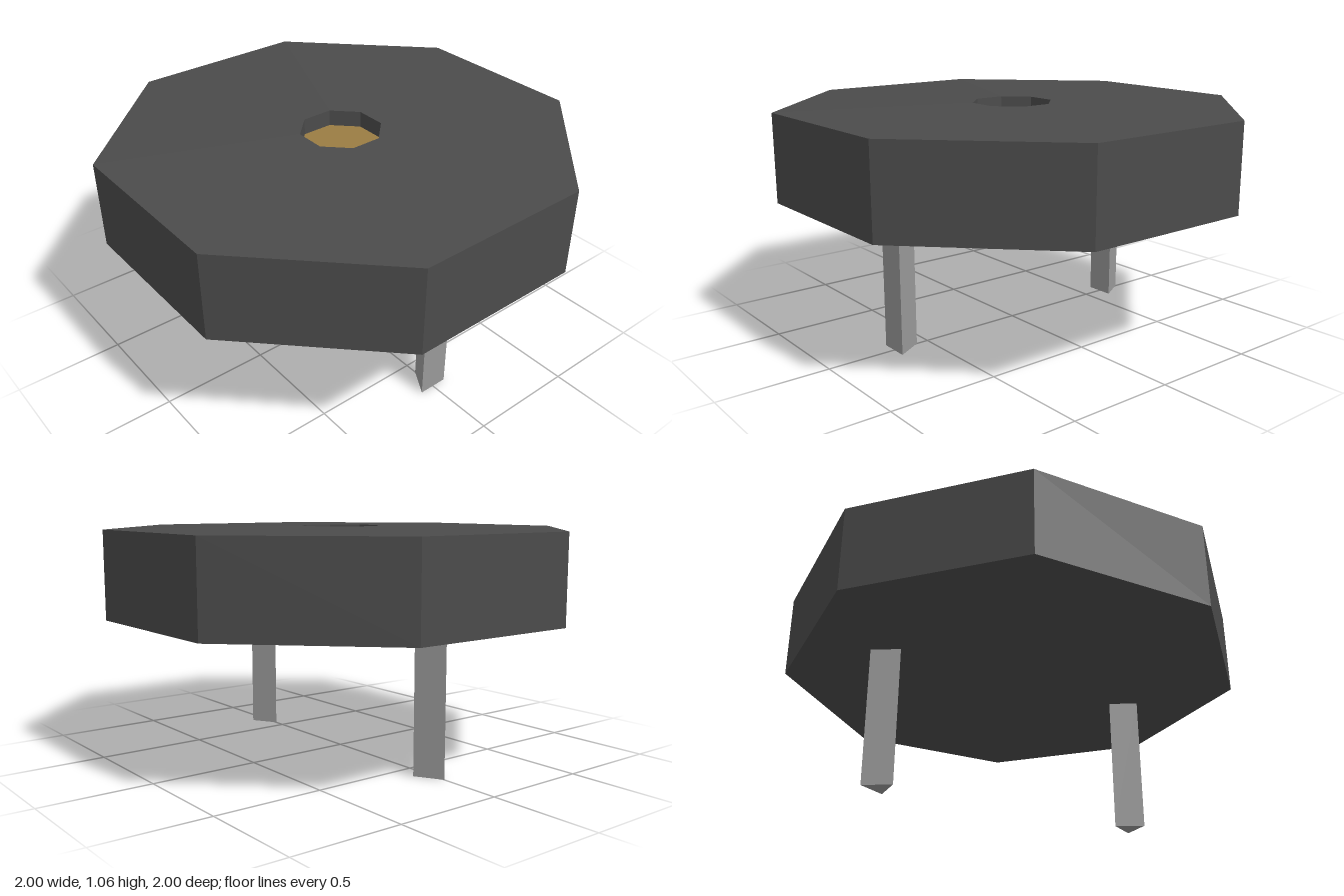
import * as THREE from 'three';

const material = (name, color) => {
  const m = new THREE.MeshStandardMaterial({ color });
  m.name = name;
  return m;
};

// Separate the faces so every facet gets its own flat normal
function faceted(geometry) {
  const g = geometry.toNonIndexed();
  g.computeVertexNormals();
  return g;
}

export function createModel() {
  const group = new THREE.Group();
  const charcoal = material('charcoal', 0x4b4b4b);
  const gold = material('gold', 0x9a7c43);
  const grey = material('grey', 0x999999);

  const add = (name, geometry, mat, x = 0, y = 0) => {
    const mesh = new THREE.Mesh(faceted(geometry), mat);
    mesh.name = name;
    mesh.position.set(x, y, 0);
    group.add(mesh);
  };

  // Corner radius of an octagon with the given half width across flats
  const corner = (halfWidth) => halfWidth / Math.cos(Math.PI / 8);
  const outer = corner(1), inner = corner(0.174);
  const bottom = 0.648, rim = 1.05, crown = 1.06, floor = 0.985;

  // Octagonal body with a slightly domed top and a central well
  const profile = [
    [0, bottom - 0.004], [outer, bottom], [outer, rim], [inner, crown], [inner, floor],
  ].map(([r, y]) => new THREE.Vector2(r, y));
  add('body', new THREE.LatheGeometry(profile, 8, Math.PI / 8), charcoal);

  // Golden floor of the well
  const plate = new THREE.CircleGeometry(inner, 8, Math.PI / 8);
  plate.rotateX(-Math.PI / 2);
  add('wellFloor', plate, gold, 0, floor);

  // Two triangular legs, both with a flat face towards +x
  for (const side of [1, -1]) {
    const leg = new THREE.CylinderGeometry(0.08, 0.08, bottom, 3, 1, false, -Math.PI / 2);
    add(side > 0 ? 'leftLeg' : 'rightLeg', leg, grey, side * 0.637, bottom / 2);
  }

  return group;
}
